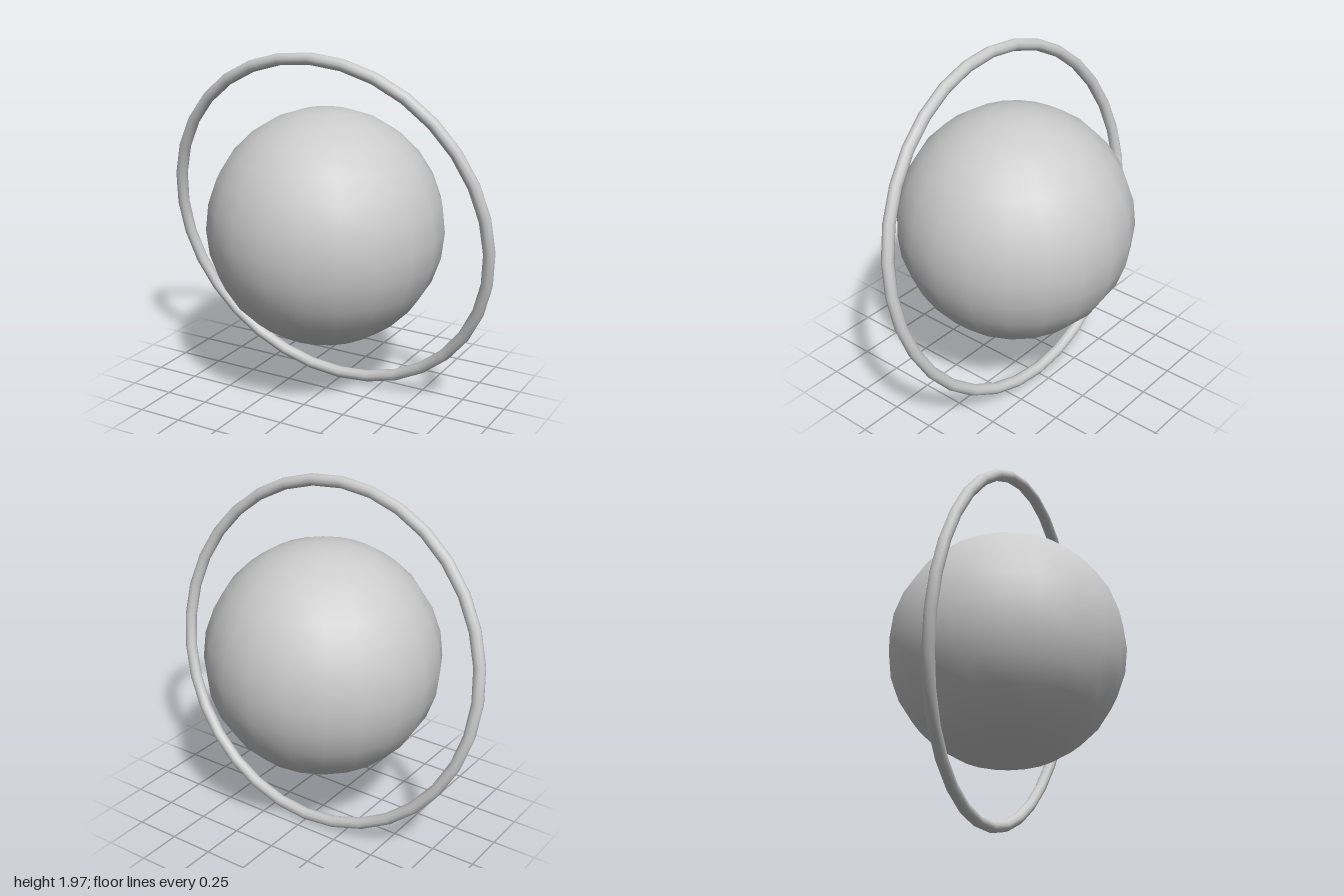
import * as THREE from 'three';

const CENTRE_Y = 0.985;

export function createModel() {
  const model = new THREE.Group();
  model.name = 'ringedPlanet';
  const material = new THREE.MeshStandardMaterial({ color: 0xcccccc });

  const addPart = (name, geometry) => {
    const mesh = new THREE.Mesh(geometry, material);
    mesh.name = name;
    mesh.position.y = CENTRE_Y;
    model.add(mesh);
    return mesh;
  };

  // Globe with its poles on the vertical axis
  addPart('planet', new THREE.SphereGeometry(0.66, 20, 14));

  // Thin upright ring, its top leaning ten degrees to the front
  const ring = addPart('ring', new THREE.TorusGeometry(0.967, 0.033, 10, 32));
  ring.rotation.x = THREE.MathUtils.degToRad(10);

  return model;
}
